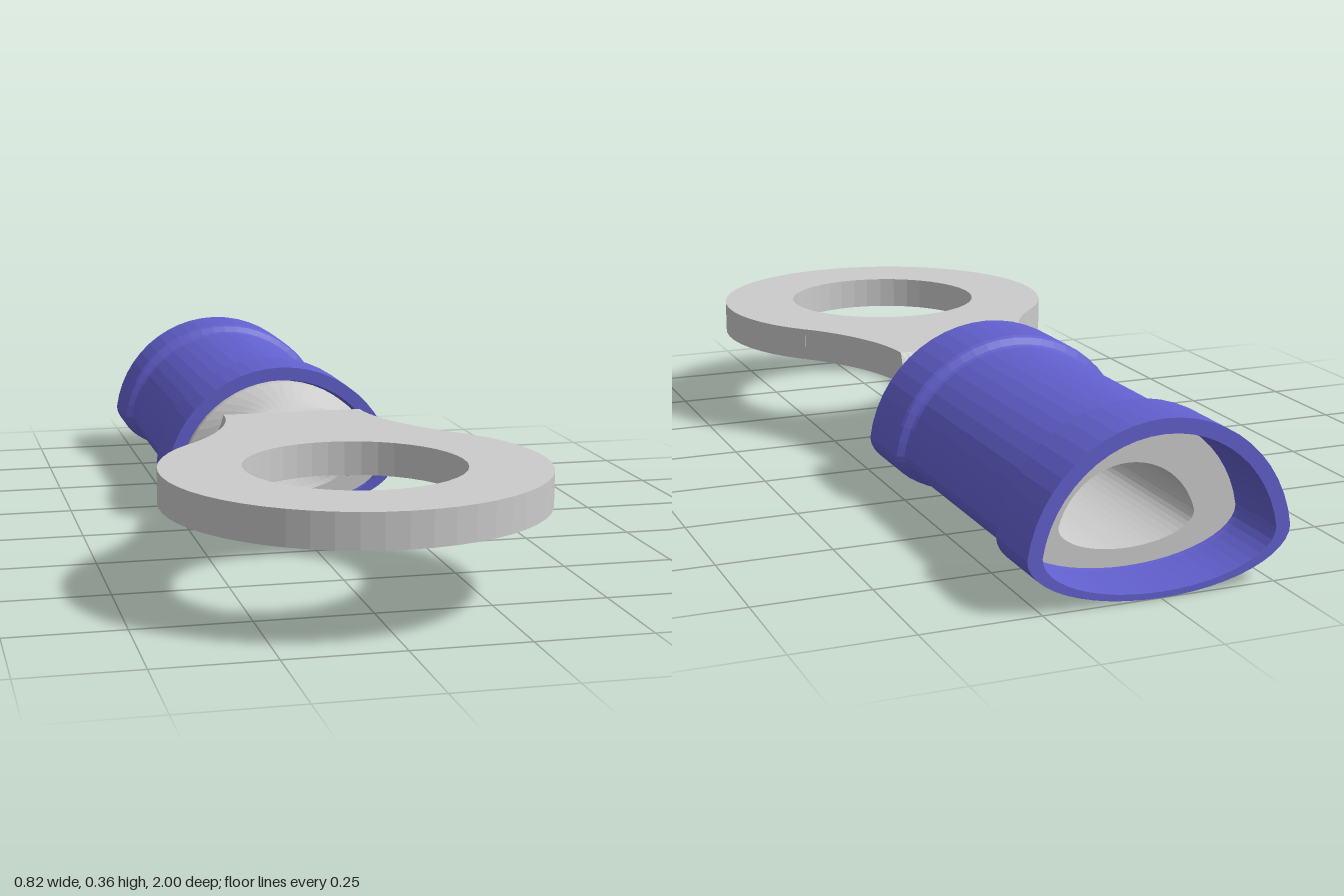
import * as THREE from 'three';

const metal = new THREE.MeshStandardMaterial({ color: 0xcccccc, flatShading: true });
const plastic = new THREE.MeshStandardMaterial({ color: 0x6260ce, flatShading: true });

const ARC_Y = .077; // centre height of the round upper half
const SIDE_Y = .115; // height where the round top meets the squashed bottom

// Upper arc from -x over the top to +x, stopping at the given angle above horizontal
const arch = (r, stop, n = 24) => Array.from({ length: n + 1 }, (_, i) => {
  const a = Math.PI - stop - (Math.PI - 2 * stop) * i / n;
  return new THREE.Vector3(r * Math.cos(a), ARC_Y + r * Math.sin(a), 0);
});

// Closed cross-section: round top, squashed elliptical bottom
function section(r, z) {
  const stop = Math.asin((SIDE_Y - ARC_Y) / r);
  const half = r * Math.cos(stop);
  const ring = arch(r, stop);
  for (let i = 1; i < 24; i++) {
    const a = Math.PI * i / 24;
    ring.push(new THREE.Vector3(half * Math.cos(a), SIDE_Y - .4 * half * Math.sin(a), 0));
  }
  ring.forEach((p) => { p.z = z; });
  return ring;
}

// Skins closed rings in sequence; wrap joins the last ring to the first
function loft(rings, wrap) {
  const n = rings[0].length;
  const index = [];
  const last = wrap ? rings.length : rings.length - 1;
  for (let j = 0; j < last; j++) {
    const k = (j + 1) % rings.length;
    for (let i = 0; i < n; i++) {
      const m = (i + 1) % n;
      index.push(j * n + i, j * n + m, k * n + i, j * n + m, k * n + m, k * n + i);
    }
  }
  const geometry = new THREE.BufferGeometry().setFromPoints(rings.flat());
  geometry.setIndex(index);
  geometry.computeVertexNormals();
  return geometry;
}

const tube = (profile) => loft(profile.map(([r, z]) => section(r, z)), true);

// Flat eyelet with a flared neck
function ringGeometry() {
  const s = new THREE.Shape();
  const a = .747;
  s.moveTo(-.165, 0);
  s.lineTo(.165, 0);
  s.bezierCurveTo(.165, .1, .218, .224, .30, .312);
  s.absarc(0, .59, .41, -a, Math.PI + a, false);
  s.bezierCurveTo(-.218, .224, -.165, .1, -.165, 0);
  const hole = new THREE.Path();
  hole.absarc(0, .59, .235, 0, Math.PI * 2, true);
  s.holes.push(hole);
  const g = new THREE.ExtrudeGeometry(s, { depth: .075, bevelEnabled: false, curveSegments: 20 });
  return g.rotateX(Math.PI / 2).translate(0, .275, 0);
}

// Flat strip at the ring bending into an arch at the barrel
function neckGeometry() {
  const top = arch(.248, .1);
  const under = arch(.165, .05);
  const rings = [];
  for (let j = 0; j <= 8; j++) {
    const s = j / 8;
    const row = (pts, flatY) => pts.map((p, i) => new THREE.Vector3(
      THREE.MathUtils.lerp(.165 * (i / 12 - 1), p.x, s ** 1.8),
      THREE.MathUtils.lerp(flatY, p.y, s),
      -.12 * s));
    rings.push([...row(top, .275), ...row(under, .2).reverse()]);
  }
  // Rear cap: the underside folds up onto the top edge
  const edge = rings[8].slice(0, top.length);
  rings.push([...edge, ...edge.slice().reverse()]);
  return loft(rings, false);
}

export function createModel() {
  const model = new THREE.Group();
  const add = (name, geometry, material) => {
    const mesh = new THREE.Mesh(geometry, material);
    mesh.name = name;
    model.add(mesh);
  };

  add('ringTongue', ringGeometry(), metal);
  add('neck', neckGeometry(), metal);

  // Crimp barrel, a thick tube ending short of the sleeve's rear
  add('crimpBarrel', tube([
    [.248, -.12], [.248, -.85], [.155, -.85], [.155, -.14], [.165, -.12],
  ]), metal);

  // Insulating sleeve: wider collar at both ends, gripping the barrel between
  add('insulatingSleeve', tube([
    [.285, -.115], [.285, -.27], [.281, -.278], [.267, -.288], [.263, -.296],
    [.263, -.824], [.267, -.832], [.281, -.842], [.285, -.85], [.285, -1],
    [.254, -1], [.254, -.86], [.243, -.82], [.243, -.16], [.254, -.13], [.254, -.115],
  ]), plastic);

  return model;
}
